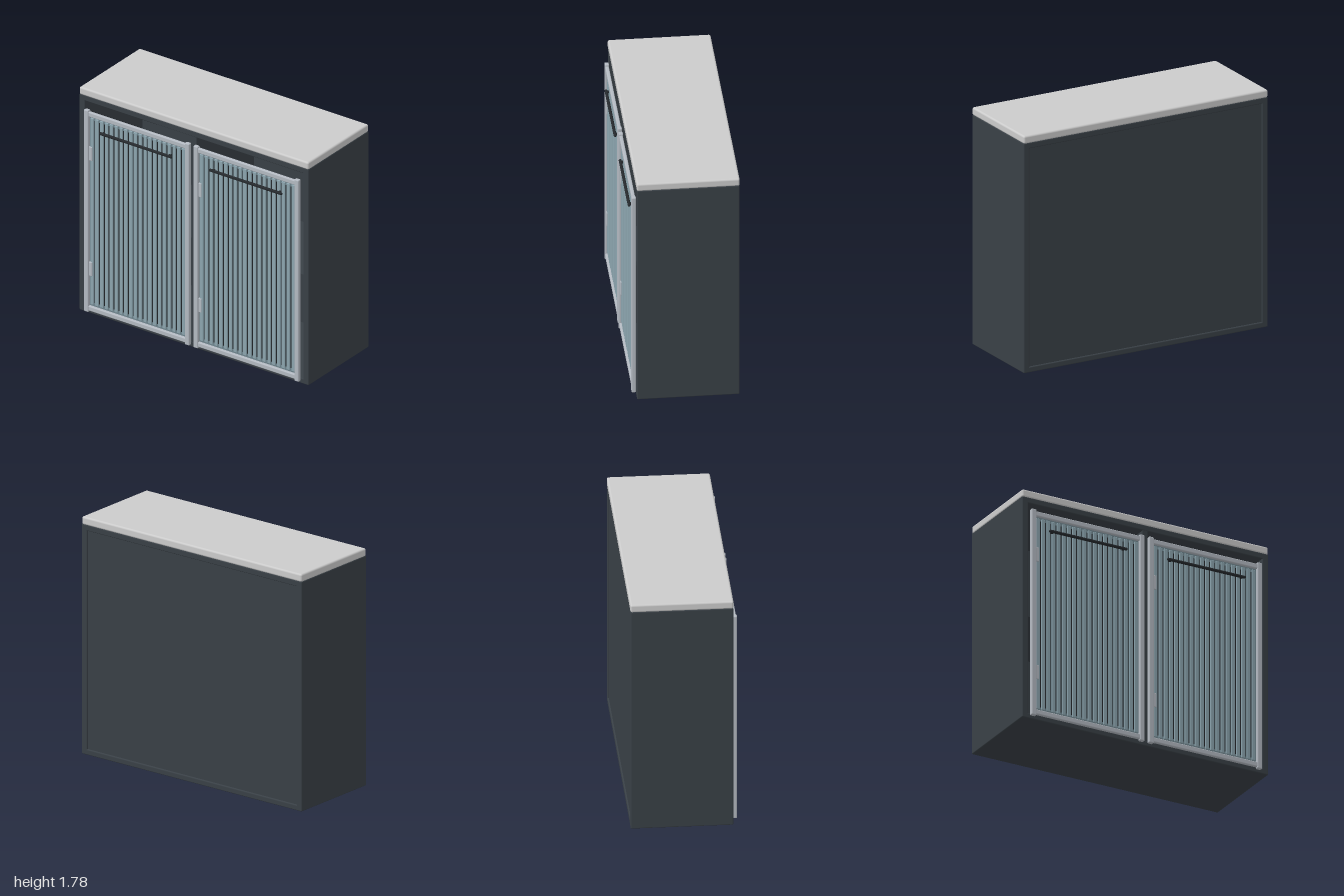
import * as THREE from 'three';
import { RoundedBoxGeometry } from 'three/addons/geometries/RoundedBoxGeometry.js';

const mat = (color) => new THREE.MeshStandardMaterial({ color });
const dark = mat(0x394046), black = mat(0x25292d), stone = mat(0xcccccc);
const metal = mat(0xb4bac2), glass = mat(0x8ca5af), groove = mat(0x6f868f);

// Box given by its minimum and maximum corners, with optional rounded edges
function box(parent, name, material, [x0, y0, z0], [x1, y1, z1], radius = 0) {
  const size = [x1 - x0, y1 - y0, z1 - z0];
  const geometry = radius
    ? new RoundedBoxGeometry(...size, 3, radius)
    : new THREE.BoxGeometry(...size);
  const mesh = new THREE.Mesh(geometry, material);
  mesh.position.set((x0 + x1) / 2, (y0 + y1) / 2, (z0 + z1) / 2);
  mesh.name = name;
  parent.add(mesh);
  return mesh;
}

// Framed, ribbed door whose lower left corner sits at x; handle runs from h0 to h1
function makeDoor(name, x, h0, h1) {
  const door = new THREE.Group();
  door.name = name;
  const w = 0.92, stile = 0.04;

  // Frame
  for (const sx of [x, x + w - stile])
    box(door, 'stile', metal, [sx, 0.02, 0.345], [sx + stile, 1.63, 0.377], 0.008);
  for (const y of [0.032, 1.58])
    box(door, 'rail', metal, [x + stile - 0.01, y, 0.347], [x + w - stile + 0.01, y + 0.038, 0.373], 0.008);

  // Ribbed panel
  box(door, 'panel', groove, [x + 0.03, 0.05, 0.347], [x + w - 0.03, 1.6, 0.353]);
  const count = 20, pitch = (w - 2 * stile) / count;
  for (let i = 0; i < count; i++) {
    const cx = x + stile + (i + 0.5) * pitch;
    box(door, 'rib', glass, [cx - 0.015, 0.08, 0.349], [cx + 0.015, 1.57, 0.361], 0.0055);
    // Narrow dark slot between neighbouring ribs
    if (i) box(door, 'slot', black, [cx - pitch / 2 - 0.003, 0.1, 0.35], [cx - pitch / 2 + 0.003, 1.55, 0.356]);
  }

  // Hinge plates
  for (const y of [0.31, 1.23])
    box(door, 'hinge', metal, [x + 0.035, y, 0.35], [x + 0.065, y + 0.11, 0.367], 0.004);

  // Handle bar on two short posts
  const bar = new THREE.Mesh(new THREE.CapsuleGeometry(0.011, h1 - h0 - 0.022, 6, 16), black);
  bar.name = 'handle';
  bar.rotation.z = Math.PI / 2;
  bar.position.set((h0 + h1) / 2, 1.483, 0.379);
  door.add(bar);
  for (const px of [h0 + 0.03, h1 - 0.03])
    box(door, 'handlePost', black, [px - 0.008, 1.475, 0.352], [px + 0.008, 1.491, 0.38]);
  return door;
}

export function createModel() {
  const cabinet = new THREE.Group();
  cabinet.name = 'cabinet';

  // Carcass
  const back = -0.385, front = 0.345, r = 0.008;
  for (const s of [-1, 1])
    box(cabinet, s < 0 ? 'rightSide' : 'leftSide', dark,
      [s < 0 ? -1 : 0.952, 0, back], [s < 0 ? -0.952 : 1, 1.725, front], r);
  box(cabinet, 'base', dark, [-0.99, 0, back], [0.99, 0.042, front], r);
  box(cabinet, 'topRail', dark, [-0.99, 1.68, back], [0.99, 1.725, front], r);
  box(cabinet, 'backPanel', dark, [-0.96, 0.03, -0.375], [0.96, 1.69, -0.355]);
  box(cabinet, 'divider', dark, [-0.02, 0.03, -0.36], [0.02, 1.69, 0.343]);

  // Inner shelves
  for (const [x0, x1] of [[-0.96, -0.02], [0.02, 0.96]])
    box(cabinet, 'shelf', dark, [x0, 0.815, -0.36], [x1, 0.845, 0.3]);

  // Worktop
  box(cabinet, 'worktop', stone, [-1, 1.72, -0.387], [1, 1.78, 0.347], 0.014);

  // Doors
  cabinet.add(makeDoor('rightDoor', -0.94, -0.8, -0.165));
  cabinet.add(makeDoor('leftDoor', 0.015, 0.16, 0.795));
  return cabinet;
}
